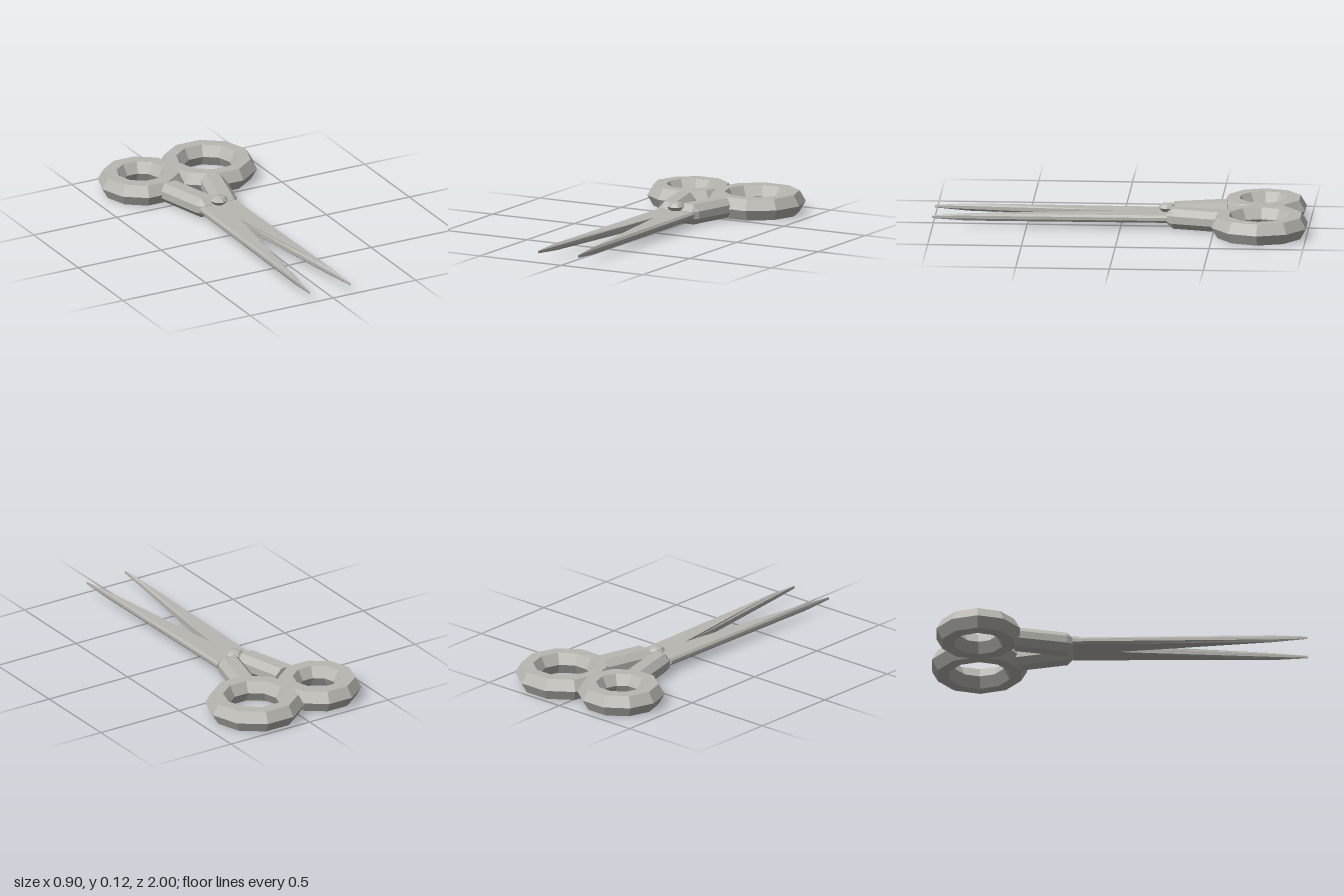
import * as THREE from 'three';

const CX = -0.018; // centre line of blades and handles
const MID = 0.058; // height of the middle plane

// Skin between matching cross-sections (counter-clockwise seen from +z), ordered by rising z, with end caps.
function loft(sections) {
  const n = sections[0].length, m = sections.length, index = [];
  for (let i = 0; i < m - 1; i++) {
    for (let j = 0; j < n; j++) {
      const a = i * n + j, b = i * n + (j + 1) % n;
      index.push(a, b, a + n, b, b + n, a + n);
    }
  }
  const last = (m - 1) * n;
  for (let j = 1; j < n - 1; j++) {
    index.push(0, j + 1, j);
    index.push(last, last + j, last + j + 1);
  }
  const geo = new THREE.BufferGeometry();
  geo.setAttribute('position', new THREE.Float32BufferAttribute(sections.flat(2), 3));
  geo.setIndex(index);
  geo.computeVertexNormals();
  return geo;
}

// Eight-sided section; u is the distance from the centre line, side picks left or right.
function section(side, z, out, topOut, topIn, inn, h, hMid) {
  const pts = [
    [out, -hMid], [out, hMid], [topOut, h], [topIn, h],
    [inn, hMid], [inn, -hMid], [topIn, -h], [topOut, -h],
  ].map(([u, y]) => [CX + side * u, MID + y, z]);
  return side > 0 ? pts : pts.reverse();
}

// Finger loop: a six-sided profile turned in ten steps.
function fingerLoop(outer, inner) {
  const slope = 0.033, h = 0.0575;
  const profile = [
    [outer - slope, 0], [outer, h], [outer - slope, 2 * h],
    [inner + slope, 2 * h], [inner, h], [inner + slope, 0], [outer - slope, 0],
  ].map(([r, y]) => new THREE.Vector2(r, y));
  return new THREE.LatheGeometry(profile, 10, Math.PI / 2);
}

export function createModel() {
  const model = new THREE.Group();
  model.name = 'scissors';
  const metal = new THREE.MeshStandardMaterial({ color: 0xb8b7b1, flatShading: true });
  metal.name = 'grey metal';

  const add = (name, geo, x = 0, y = 0, z = 0) => {
    const mesh = new THREE.Mesh(geo, metal);
    mesh.name = name;
    mesh.position.set(x, y, z);
    model.add(mesh);
  };

  for (const side of [1, -1]) {
    const label = side > 0 ? 'left' : 'right';

    // Blade: straight near the pivot, then narrowing to a thin tip
    add(label + 'Blade', loft([
      section(side, -0.25, 0.112, 0.102, 0, 0, 0.02, 0.008),
      section(side, -0.01, 0.114, 0.104, 0, 0, 0.02, 0.008),
      section(side, 0.82, 0.1205, 0.114, 0.112, 0.1, 0.02, 0.008),
      section(side, 1, 0.123, 0.1225, 0.1215, 0.121, 0.007, 0.005),
    ]));

    // Shank: slanting bar from the finger loop, bevelled at the pivot end
    const bar = (z, w, top, h, hMid) => {
      const u = 0.047 - (z + 0.25) * 0.26;
      return section(side, z, u + w, u + top, u - top, u - w, h, hMid);
    };
    add(label + 'Shank', loft([
      bar(-0.56, 0.069, 0.035, 0.054, 0.02),
      bar(-0.28, 0.069, 0.035, 0.054, 0.02),
      bar(-0.245, 0.052, 0.035, 0.022, 0.018),
    ]));
  }

  // Finger loops: the left one is larger
  add('leftFingerLoop', fingerLoop(0.265, 0.135), 0.185, 0, -0.75);
  add('rightFingerLoop', fingerLoop(0.234, 0.1), -0.216, 0, -0.75);

  // Pivot screw
  const screw = [[0, 0.075], [0.03, 0.079], [0.049, 0.1], [0.035, 0.118], [0, 0.125]]
    .map(([r, y]) => new THREE.Vector2(r, y));
  add('pivotScrew', new THREE.LatheGeometry(screw, 8), CX, 0, -0.246);

  return model;
}
